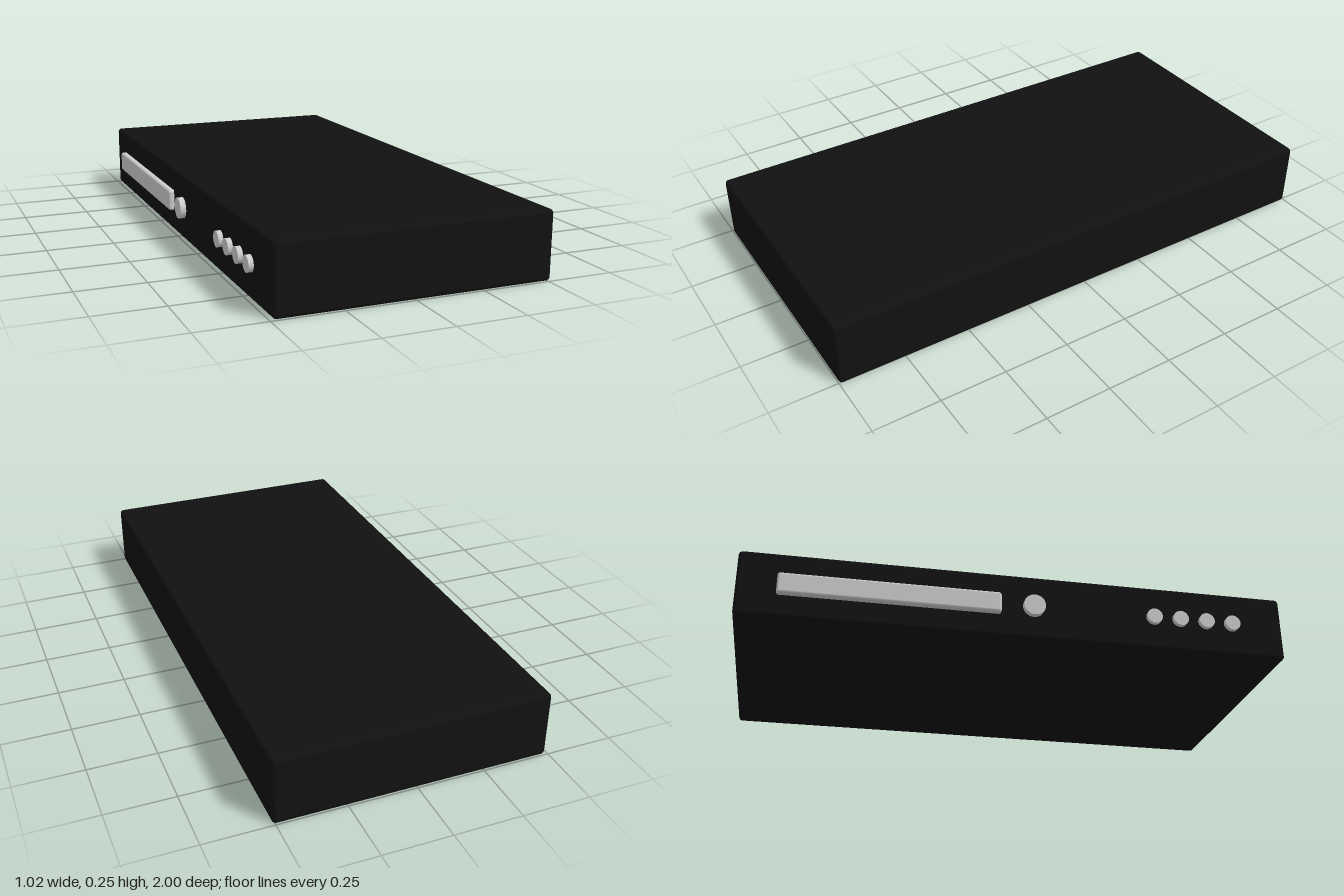
import * as THREE from 'three';
import { RoundedBoxGeometry } from 'three/addons/geometries/RoundedBoxGeometry.js';

export function createModel() {
  const model = new THREE.Group();
  const black = new THREE.MeshStandardMaterial({ name: 'black casing', color: 0x111111 });
  const silver = new THREE.MeshStandardMaterial({ name: 'silver controls', color: 0xcccccc });
  const midY = 0.125;

  function add(name, geometry, material, x, y, z) {
    const mesh = new THREE.Mesh(geometry, material);
    mesh.name = name;
    mesh.position.set(x, y, z);
    model.add(mesh);
    return mesh;
  }

  // Flat casing with small rounded edges
  add('casing', new RoundedBoxGeometry(1, 0.25, 2, 4, 0.015), black, 0.01, midY, 0);

  // Long raised bar along the control side
  add('sideBar', new RoundedBoxGeometry(0.04, 0.08, 0.79, 3, 0.01), silver, -0.492, midY, -0.465);

  // Round controls whose axes point out of the control side
  function addRound(name, radius, outerX, z) {
    const depth = 0.04;
    const geometry = new THREE.CylinderGeometry(radius, radius, depth, 32);
    geometry.rotateZ(Math.PI / 2);
    add(name, geometry, silver, outerX + depth / 2, midY, z);
  }
  addRound('largeButton', 0.04, -0.512, 0.05);
  for (let i = 0; i < 4; i++) addRound('smallButton' + (i + 1), 0.029, -0.508, 0.5 + i * 0.1);

  return model;
}
